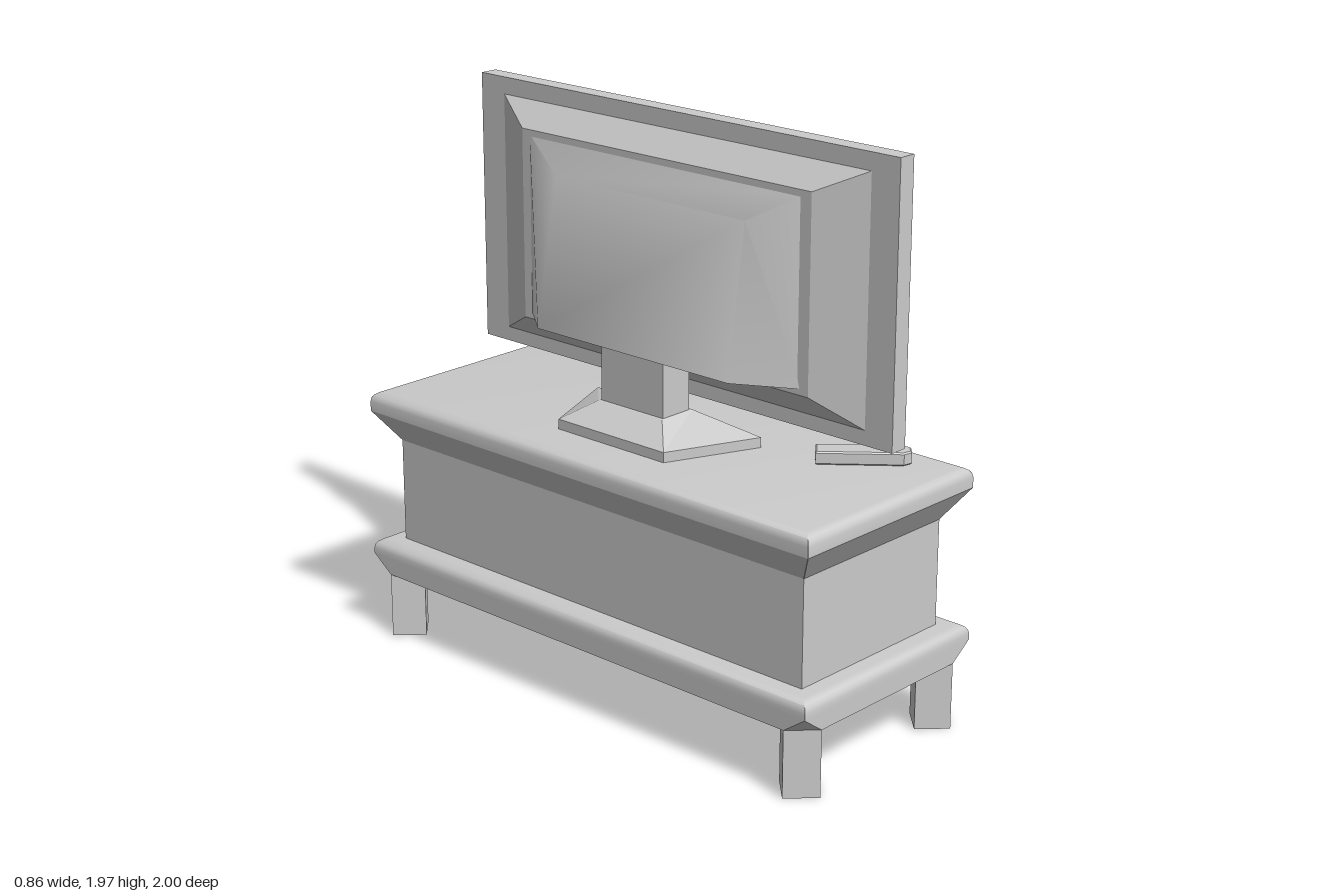
import * as THREE from 'three';
import { toCreasedNormals } from 'three/addons/utils/BufferGeometryUtils.js';

const material = new THREE.MeshStandardMaterial({ color: 0xcccccc });

// Skin a list of equal-length rings of [x, y, z] points and cap both ends.
function loft(rings, crease = 0.5) {
  const n = rings[0].length, index = [];
  for (let r = 0; r < rings.length - 1; r++) {
    for (let i = 0; i < n; i++) {
      const a = r * n + i, b = r * n + (i + 1) % n;
      index.push(a, b, b + n, a, b + n, a + n);
    }
  }
  const last = (rings.length - 1) * n;
  for (let i = 1; i < n - 1; i++) {
    index.push(0, i + 1, i, last, last + i, last + i + 1);
  }
  const geometry = new THREE.BufferGeometry();
  geometry.setAttribute('position', new THREE.Float32BufferAttribute(rings.flat(2), 3));
  geometry.setIndex(index);
  return toCreasedNormals(geometry, crease);
}

// Horizontal rectangle with corners cut by c.
function slabRing(x0, x1, hz, y, c = 0.001) {
  return [
    [x1, y, hz - c], [x1, y, -hz + c], [x1 - c, y, -hz], [x0 + c, y, -hz],
    [x0, y, -hz + c], [x0, y, hz - c], [x0 + c, y, hz], [x1 - c, y, hz],
  ];
}

// Quarter-round top edge, ending at height y.
function roundedTop(x0, x1, hz, y, r) {
  return [0, 1, 2, 3, 4].map((i) => {
    const a = (i / 4) * Math.PI / 2, inset = r * (1 - Math.cos(a));
    return slabRing(x0 + inset, x1 - inset, hz - inset, y - r + r * Math.sin(a));
  });
}

// Upright rectangle facing -x; the x position may differ at top and bottom.
function backRing(xTop, xBottom, y0, y1, hzTop, hzBottom = hzTop) {
  return [[xTop, y1, hzTop], [xTop, y1, -hzTop], [xBottom, y0, -hzBottom], [xBottom, y0, hzBottom]];
}

export function createModel() {
  const model = new THREE.Group();
  model.name = 'televisionOnCabinet';

  function add(name, geometry, parent = model) {
    const mesh = new THREE.Mesh(geometry, material);
    mesh.name = name;
    parent.add(mesh);
    return mesh;
  }
  // Box given by its limits on each axis.
  function box(name, x0, x1, y0, y1, z0, z1, parent) {
    const mesh = add(name, new THREE.BoxGeometry(x1 - x0, y1 - y0, z1 - z0), parent);
    mesh.position.set((x0 + x1) / 2, (y0 + y1) / 2, (z0 + z1) / 2);
    return mesh;
  }

  // Cabinet: plinth with cut lower corners, body, flared top
  add('cabinetBase', loft([
    slabRing(-0.43, 0.41, 1, 0.235, 0.085),
    slabRing(-0.43, 0.41, 1, 0.295),
    ...roundedTop(-0.43, 0.41, 1, 0.35, 0.035),
  ]));
  box('cabinetBody', -0.35, 0.33, 0.34, 0.73, -0.92, 0.92);
  add('cabinetTop', loft([
    slabRing(-0.35, 0.33, 0.92, 0.72),
    slabRing(-0.425, 0.402, 0.997, 0.83),
    ...roundedTop(-0.425, 0.402, 0.997, 0.9, 0.035),
  ]));

  // Square legs turned by 45 degrees under the corners
  for (const x of [-0.345, 0.325]) {
    for (const z of [-0.915, 0.915]) {
      const leg = box('leg', -0.06, 0.06, 0, 0.235, -0.06, 0.06);
      leg.position.x = x;
      leg.position.z = z;
      leg.rotation.y = Math.PI / 4;
    }
  }

  // Drawer with two open handles
  box('drawerFront', 0.32, 0.355, 0.395, 0.68, -0.875, 0.875);
  for (const z of [-0.545, 0.545]) {
    const handle = new THREE.Group();
    handle.name = 'drawerHandle';
    handle.position.z = z;
    model.add(handle);
    box('handleBar', 0.405, 0.428, 0.505, 0.57, -0.11, 0.11, handle);
    box('handlePost', 0.35, 0.405, 0.505, 0.57, -0.11, -0.08, handle);
    box('handlePost', 0.35, 0.405, 0.505, 0.57, 0.08, 0.11, handle);
  }

  // Stand: trapezoid foot sloping up to the neck
  const foot = (y) => [[0.075, y, 0.375], [0.075, y, -0.375], [-0.25, y, -0.24], [-0.25, y, 0.24]];
  add('standFoot', loft([
    foot(0.895), foot(0.935),
    [[-0.01, 1, 0.145], [-0.01, 1, -0.145], [-0.155, 1, -0.145], [-0.155, 1, 0.145]],
  ], 0.1));
  box('standNeck', -0.145, -0.02, 0.99, 1.22, -0.14, 0.14);

  // Screen: thin bezel around a slightly recessed panel
  const frame = new THREE.Shape([[-0.92, 1.015], [0.92, 1.015], [0.92, 1.965], [-0.92, 1.965]]
    .map((p) => new THREE.Vector2(...p)));
  frame.holes.push(new THREE.Path([[-0.908, 1.027], [-0.908, 1.953], [0.908, 1.953], [0.908, 1.027]]
    .map((p) => new THREE.Vector2(...p))));
  const bezel = add('screenBezel', new THREE.ExtrudeGeometry(frame, { depth: 0.065, bevelEnabled: false }));
  bezel.rotation.y = Math.PI / 2;
  bezel.position.x = 0.07;
  box('screenPanel', 0.07, 0.125, 1.02, 1.96, -0.912, 0.912);

  // Rear housing in two tapered stages
  add('rearHousing', loft([
    backRing(0.075, 0.075, 1.06, 1.91, 0.82),
    backRing(-0.01, -0.01, 1.155, 1.825, 0.64),
  ], 0.1));
  add('rearHump', loft([
    backRing(-0.005, -0.005, 1.175, 1.81, 0.61),
    backRing(-0.07, -0.155, 1.19, 1.705, 0.42, 0.43),
  ], 0.75));

  // Remote control lying at an angle on the cabinet
  const outline = new THREE.Shape([[-0.04, 0], [0.04, 0], [0.04, 0.285], [0.02, 0.31], [-0.02, 0.31], [-0.04, 0.285]]
    .map((p) => new THREE.Vector2(...p)));
  const remote = new THREE.Group();
  remote.name = 'remoteControl';
  remote.position.set(0.1, 0.94, 0.585);
  remote.rotation.y = 0.7;
  model.add(remote);
  const shell = add('remoteShell', new THREE.ExtrudeGeometry(outline, {
    depth: 0.035, bevelThickness: 0.005, bevelSize: 0.005, bevelOffset: -0.005, bevelSegments: 1,
  }), remote);
  shell.rotation.x = Math.PI / 2;

  return model;
}
